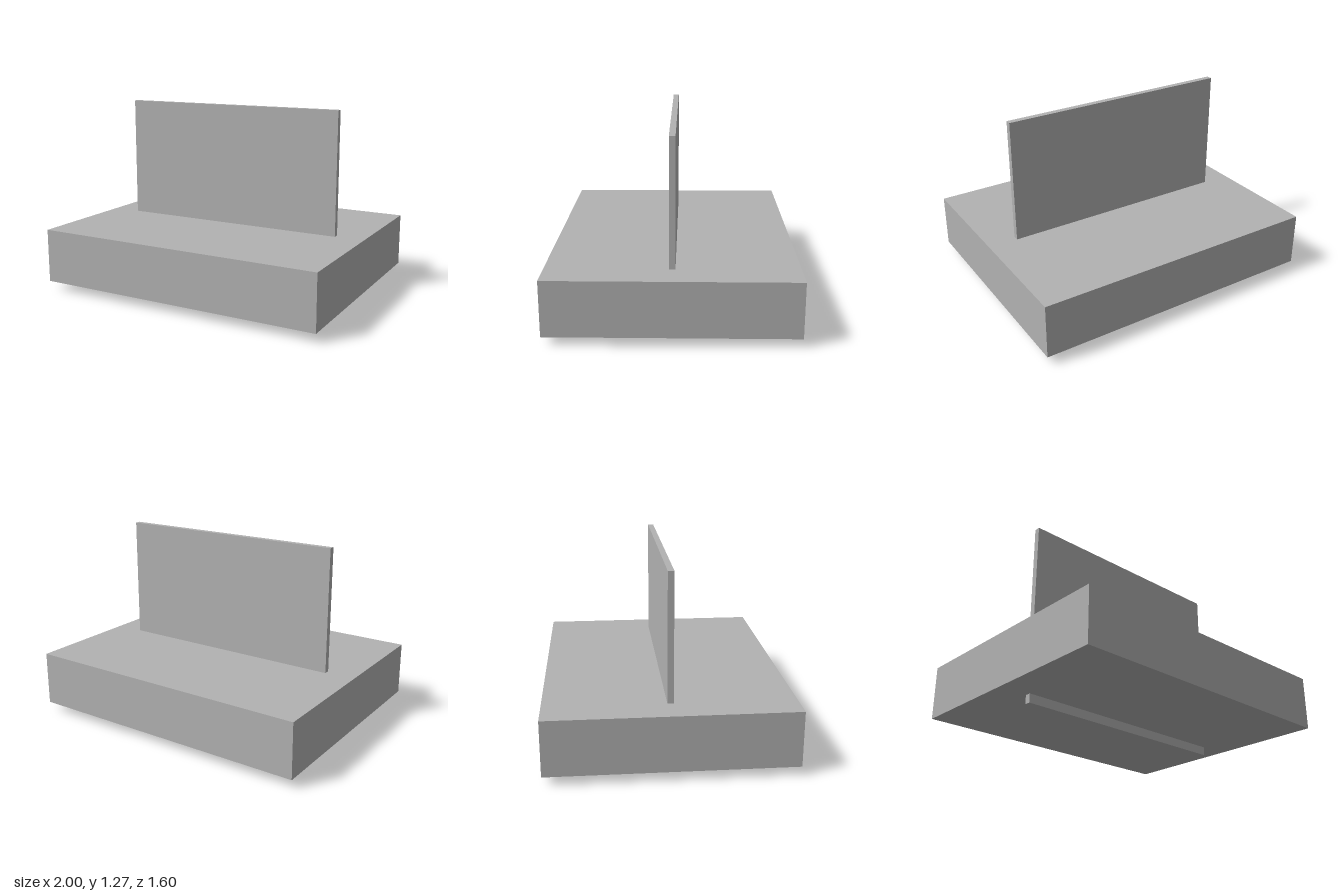
import * as THREE from 'three';

const grey = new THREE.MeshStandardMaterial({ name: 'grey', color: 0xb2b2b2 });

// Box standing between two heights, centred on x and z
function slab(name, width, depth, bottom, top) {
  const mesh = new THREE.Mesh(new THREE.BoxGeometry(width, top - bottom, depth), grey);
  mesh.name = name;
  mesh.position.y = (bottom + top) / 2;
  return mesh;
}

export function createModel() {
  const model = new THREE.Group();
  model.name = 'panelOnBase';
  // Thick base block
  model.add(slab('base', 2, 1.6, 0.06, 0.428));
  // Thin upright panel that passes through the base and shows below it
  model.add(slab('uprightPanel', 1.6, 0.04, 0, 1.267));
  return model;
}
